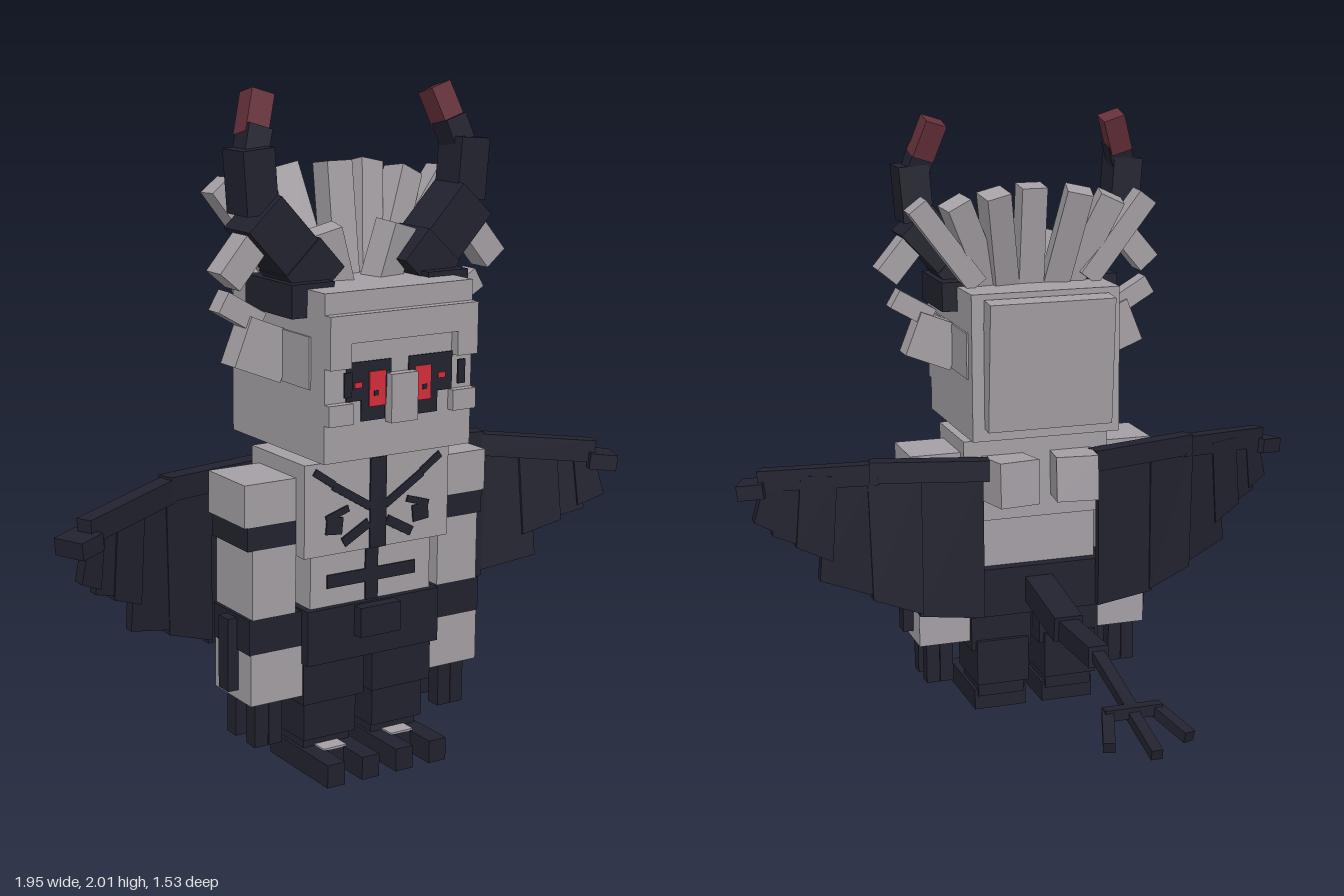
import * as THREE from 'three';

const mat = (name, color) => Object.assign(new THREE.MeshStandardMaterial({ color }), { name });

export function createModel() {
  const root = new THREE.Group();
  root.name = 'hornedWingedSkeleton';
  const bone = mat('boneGrey', 0xa49fa4);
  const dark = mat('darkNavy', 0x21222e);
  const red = mat('eyeRed', 0xd62c3a);
  const tip = mat('hornTipRed', 0x66303a);

  const add = (name, geo, m) => {
    const mesh = new THREE.Mesh(geo, m);
    mesh.name = name;
    root.add(mesh);
    return mesh;
  };
  // Box given by its extents on each axis
  const box = (name, m, x0, x1, y0, y1, z0, z1) => {
    const b = add(name, new THREE.BoxGeometry(Math.abs(x1 - x0), y1 - y0, z1 - z0), m);
    b.position.set((x0 + x1) / 2, (y0 + y1) / 2, (z0 + z1) / 2);
    return b;
  };
  // Tilted box given by centre, size and rotation
  const tilt = (name, m, p, s, r) => {
    const b = add(name, new THREE.BoxGeometry(...s), m);
    b.position.set(...p);
    b.rotation.set(...r);
    return b;
  };
  // Box stretched between two points
  const beam = (name, m, a, b, w, h) => {
    const p = new THREE.Vector3(...a), q = new THREE.Vector3(...b);
    const mesh = add(name, new THREE.BoxGeometry(w, h, p.distanceTo(q)), m);
    mesh.position.copy(p).add(q).multiplyScalar(0.5);
    mesh.lookAt(q);
    return mesh;
  };
  // Mirrored pairs
  const pairBox = (name, m, x0, x1, ...r) => [1, -1].forEach(s => box(name, m, s * x0, s * x1, ...r));
  const pairTilt = (name, m, p, s, r) => [1, -1].forEach(k =>
    tilt(name, m, [k * p[0], p[1], p[2]], s, [r[0], k * r[1], k * r[2]]));
  const pairBeam = (name, m, a, b, w, h) => [1, -1].forEach(k =>
    beam(name, m, [k * a[0], a[1], a[2]], [k * b[0], b[1], b[2]], w, h));

  // Head
  box('head', bone, -0.25, 0.25, 0.98, 1.46, 0.23, 0.73);
  tilt('headBackPlate', bone, [0, 1.23, 0.205], [0.42, 0.42, 0.07], [-0.08, 0, 0]);
  box('brow', bone, -0.25, 0.25, 1.32, 1.4, 0.7, 0.76);
  pairBox('browSide', bone, 0.18, 0.25, 1.25, 1.32, 0.7, 0.76);
  box('noseBridge', bone, -0.045, 0.045, 1.08, 1.22, 0.72, 0.76);
  pairBox('cheek', bone, 0.17, 0.25, 1.09, 1.15, 0.71, 0.755);
  pairBox('templePlate', bone, 0.25, 0.256, 1.18, 1.33, 0.27, 0.66);
  box('neck', bone, -0.11, 0.11, 0.94, 0.99, 0.37, 0.6);

  // Eyes
  pairBox('eyeSocket', dark, 0.03, 0.18, 1.15, 1.26, 0.728, 0.734);
  pairBox('eyeSocketCorner', dark, 0.18, 0.205, 1.17, 1.24, 0.757, 0.763);
  pairBox('eyeSocketLower', dark, 0.05, 0.13, 1.09, 1.15, 0.728, 0.734);
  pairBox('eyeIris', red, 0.05, 0.105, 1.13, 1.23, 0.733, 0.738);
  pairBox('eyePupil', dark, 0.075, 0.09, 1.16, 1.175, 0.736, 0.74);
  pairBox('eyeSpark', red, 0.13, 0.155, 1.187, 1.203, 0.733, 0.738);

  // Side tufts
  pairTilt('sideTuft', bone, [0.31, 1.275, 0.48], [0.16, 0.15, 0.08], [0, 0, 0.38]);
  pairTilt('smallSideTuft', bone, [0.38, 1.385, 0.48], [0.14, 0.065, 0.06], [0, 0, 0.53]);

  // Hair spikes
  tilt('crownSpike', bone, [0, 1.61, 0.4], [0.085, 0.34, 0.08], [-0.14, 0, 0]);
  pairTilt('innerSpike', bone, [0.115, 1.6, 0.37], [0.085, 0.35, 0.08], [-0.25, 0.2, -0.17]);
  pairTilt('middleSpike', bone, [0.2, 1.59, 0.39], [0.085, 0.33, 0.08], [-0.15, 0.2, -0.42]);
  pairTilt('outerSpike', bone, [0.29, 1.6, 0.38], [0.07, 0.33, 0.07], [-0.05, 0, -0.65]);
  pairTilt('frontSpike', bone, [0.1, 1.52, 0.52], [0.09, 0.18, 0.08], [0.1, 0.2, -0.3]);
  pairTilt('sideSpike', bone, [0.4, 1.55, 0.53], [0.08, 0.17, 0.08], [0, 0, 0.7]);

  // Horns
  pairBox('hornBase', dark, 0.16, 0.3, 1.38, 1.475, 0.39, 0.64);
  pairTilt('hornRoot', dark, [0.2, 1.5, 0.53], [0.15, 0.12, 0.15], [0, 0, -0.75]);
  pairTilt('hornLower', dark, [0.295, 1.6, 0.53], [0.14, 0.19, 0.14], [0, 0, -0.75]);
  pairTilt('hornMiddle', dark, [0.36, 1.755, 0.52], [0.1, 0.18, 0.115], [0, 0, -0.08]);
  pairTilt('hornUpper', dark, [0.345, 1.85, 0.5], [0.075, 0.1, 0.075], [-0.2, 0, 0.3]);
  pairTilt('hornTip', tip, [0.32, 1.93, 0.47], [0.072, 0.125, 0.072], [-0.25, 0, 0.32]);

  // Torso
  box('chest', bone, -0.25, 0.25, 0.68, 0.955, 0.34, 0.63);
  box('belly', bone, -0.21, 0.21, 0.5, 0.68, 0.36, 0.6);
  box('belt', dark, -0.23, 0.23, 0.35, 0.515, 0.32, 0.62);
  box('buckle', dark, -0.07, 0.07, 0.42, 0.51, 0.6, 0.655);
  box('loinPiece', dark, -0.03, 0.03, 0.25, 0.36, 0.44, 0.52);
  pairTilt('shoulderBlade', bone, [0.11, 0.83, 0.28], [0.14, 0.15, 0.15], [0.05, 0.15, 0]);

  // Painted breastbone and ribs
  box('breastbone', dark, -0.028, 0.028, 0.68, 0.95, 0.629, 0.635);
  box('bellySpine', dark, -0.022, 0.022, 0.51, 0.68, 0.599, 0.605);
  box('lowestRib', dark, -0.155, 0.155, 0.57, 0.61, 0.599, 0.605);
  const rib = (x, y, w, h, a) => pairTilt('rib', dark, [x, y, 0.632], [w, h, 0.006], [0, 0, a]);
  rib(0.185, 0.91, 0.08, 0.022, 0.6);
  rib(0.09, 0.845, 0.15, 0.025, 0.55);
  rib(0.14, 0.8, 0.08, 0.02, -0.3);
  rib(0.15, 0.765, 0.055, 0.05, 0.1);
  rib(0.075, 0.735, 0.1, 0.03, -0.5);

  // Arms, stacked bands from shoulder to wrist
  const bands = [
    ['shoulder', bone, 0.25, 0.42, 0.785, 0.91], ['upperArmBand', dark, 0.25, 0.41, 0.715, 0.785],
    ['upperArm', bone, 0.25, 0.395, 0.51, 0.715], ['forearmBand', dark, 0.22, 0.405, 0.405, 0.51],
    ['forearm', bone, 0.22, 0.4, 0.25, 0.405]
  ];
  bands.forEach(([n, m, ...e]) => pairBox(n, m, ...e, 0.38, 0.585));
  pairBox('elbowBlade', dark, 0.39, 0.435, 0.28, 0.5, 0.46, 0.515);
  for (const z of [0.4, 0.51]) {
    pairBox('innerClaw', dark, 0.28, 0.325, 0.11, 0.26, z, z + 0.05);
    pairBox('outerClaw', dark, 0.327, 0.372, 0.11, 0.26, z, z + 0.05);
  }

  // Legs and feet
  pairBox('thigh', dark, 0.015, 0.225, 0.22, 0.42, 0.36, 0.59);
  pairBox('shin', dark, 0.03, 0.21, 0.1, 0.255, 0.345, 0.57);
  pairBox('ankle', dark, 0.04, 0.2, 0.05, 0.11, 0.37, 0.55);
  pairBox('foot', dark, 0.03, 0.21, 0, 0.07, 0.38, 0.6);
  pairBox('innerToe', dark, 0.03, 0.09, 0, 0.07, 0.6, 0.7);
  pairBox('outerToe', dark, 0.15, 0.21, 0, 0.07, 0.6, 0.7);
  pairBox('footPatch', bone, 0.08, 0.16, 0.069, 0.075, 0.53, 0.6);

  // Tail with trident
  beam('tailBase', dark, [0, 0.44, 0.36], [0, 0.39, 0.02], 0.095, 0.085);
  beam('tailMiddle', dark, [0, 0.385, 0.04], [0, 0.395, -0.265], 0.065, 0.068);
  beam('tailThin', dark, [0, 0.4, -0.25], [0, 0.325, -0.56], 0.04, 0.032);
  beam('tridentCentre', dark, [0, 0.325, -0.53], [0, 0.27, -0.76], 0.035, 0.032);
  box('tridentBar', dark, -0.09, 0.09, 0.31, 0.345, -0.575, -0.54);
  pairBeam('tridentProng', dark, [0.075, 0.325, -0.55], [0.125, 0.285, -0.7], 0.036, 0.034);

  // Wing bones
  pairBeam('wingInnerBone', dark, [0.18, 0.87, 0.29], [0.56, 0.875, 0.375], 0.055, 0.07);
  pairBeam('wingOuterBone', dark, [0.53, 0.87, 0.365], [0.89, 0.835, 0.53], 0.05, 0.07);
  pairBeam('wingTip', dark, [0.87, 0.81, 0.52], [0.95, 0.8, 0.555], 0.1, 0.05);

  // Wing membranes: quads swept back along the wing line
  const sweep = x => x < 0.55 ? 0.3 + (x - 0.2) * 0.2 : 0.37 + (x - 0.55) * 0.46;
  const panels = [
    [[0.2, 0.86], [0.2, 0.36], [0.41, 0.375], [0.43, 0.88], 0.03],
    [[0.4, 0.88], [0.4, 0.385], [0.56, 0.44], [0.57, 0.88], 0.045],
    [[0.55, 0.87], [0.54, 0.45], [0.72, 0.5], [0.69, 0.86], 0.035],
    [[0.66, 0.86], [0.68, 0.57], [0.79, 0.615], [0.77, 0.86], 0.05],
    [[0.75, 0.86], [0.77, 0.62], [0.86, 0.65], [0.84, 0.84], 0.035],
    [[0.82, 0.84], [0.84, 0.66], [0.915, 0.695], [0.88, 0.83], 0.045]
  ];
  for (const k of [1, -1]) for (const [a, b, c, d, t] of panels) {
    const shape = new THREE.Shape([a, b, c, d].map(([x, y]) => new THREE.Vector2(k * x, y)));
    const geo = new THREE.ExtrudeGeometry(shape, { depth: t, bevelEnabled: false });
    const p = geo.attributes.position;
    for (let i = 0; i < p.count; i++) p.setZ(i, p.getZ(i) - t / 2 + sweep(Math.abs(p.getX(i))));
    geo.computeVertexNormals();
    add('wingMembrane', geo, dark);
  }

  // Centre the tail-to-brow length
  return root;
}
